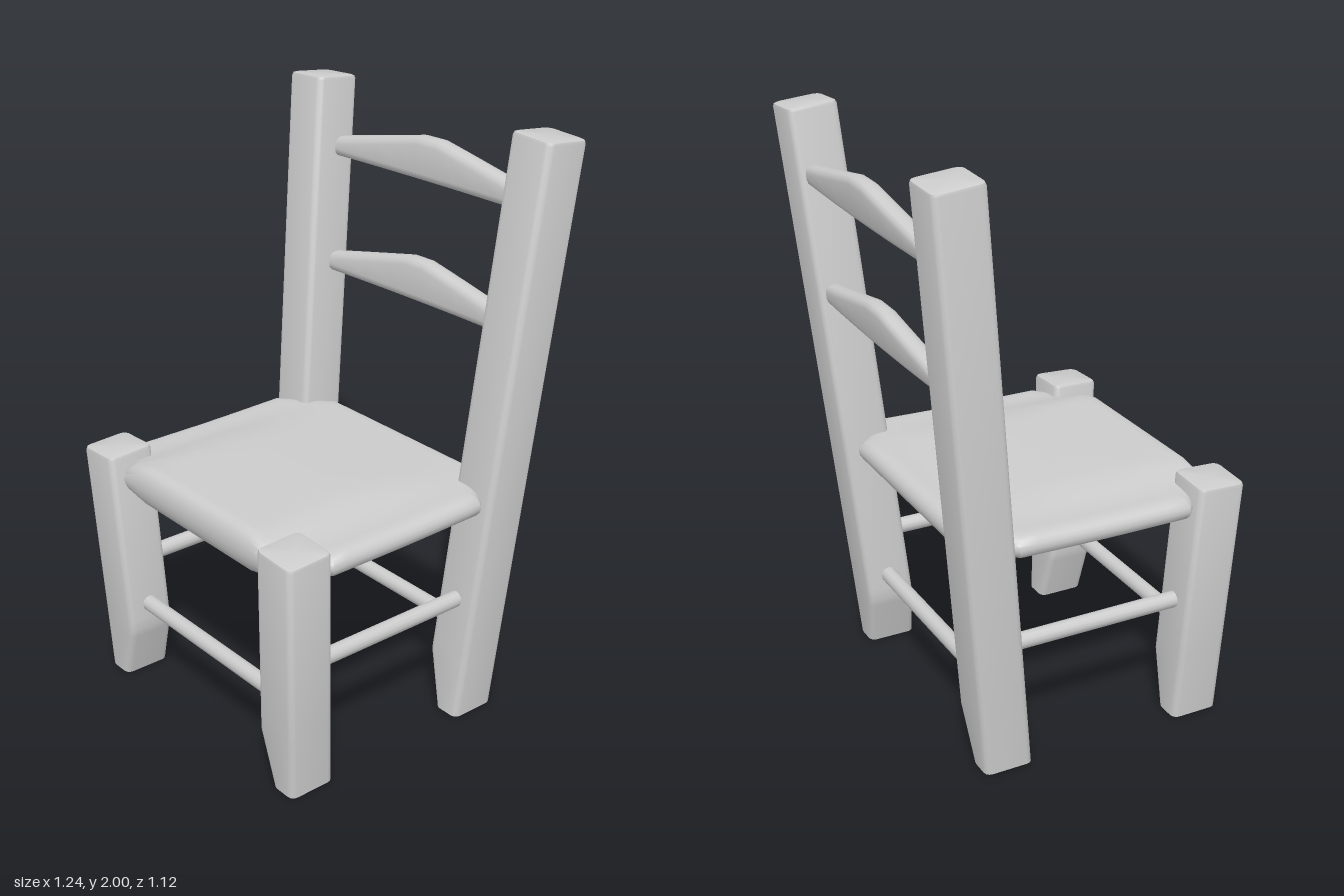
import * as THREE from 'three';
import { toCreasedNormals } from 'three/addons/utils/BufferGeometryUtils.js';

const material = new THREE.MeshStandardMaterial({ color: 0xcccccc });
const lerp = THREE.MathUtils.lerp;

// Skin a stack of equal-length loops and close both ends with fans.
function loft(loops) {
  const pos = [], idx = [], n = loops[0].length;
  for (const loop of loops) for (const p of loop) pos.push(...p);
  for (let i = 0; i < loops.length - 1; i++) {
    for (let j = 0; j < n; j++) {
      const a = i * n + j, b = i * n + (j + 1) % n;
      idx.push(a, b, b + n, a, b + n, a + n);
    }
  }
  for (const end of [0, loops.length - 1]) {
    const loop = loops[end], c = pos.length / 3;
    pos.push(...[0, 1, 2].map(k => loop.reduce((sum, p) => sum + p[k], 0) / n));
    for (let j = 0; j < n; j++) {
      const a = end * n + j, b = end * n + (j + 1) % n;
      if (end) idx.push(c, a, b); else idx.push(c, b, a);
    }
  }
  const g = new THREE.BufferGeometry();
  g.setAttribute('position', new THREE.Float32BufferAttribute(pos, 3));
  g.setIndex(idx);
  return toCreasedNormals(g, 0.7);
}

// Rounded rectangle, counter-clockwise, as [u, v] pairs.
function roundedRect(hu, hv, r) {
  const pts = [];
  [[1, 1], [-1, 1], [-1, -1], [1, -1]].forEach(([su, sv], q) => {
    for (let k = 0; k <= 3; k++) {
      const a = (q + k / 3) * Math.PI / 2;
      pts.push([su * (hu - r) + r * Math.cos(a), sv * (hv - r) + r * Math.sin(a)]);
    }
  });
  return pts;
}

// Splayed square post: foot cut back on its inner side, top square to the axis.
function legGeometry(side, top, zFoot, lean) {
  const section = (y, inset, tilted) => {
    const outer = 0.52 + 0.05 * y;
    const inner = y < 0.2 ? lerp(0.42, 0.362, y / 0.2) : outer - 0.168;
    const xc = side * (outer + inner) / 2, zc = zFoot + lean * y;
    return roundedRect((outer - inner) / 2 - inset, 0.085 - inset, 0.022).map(([u, v]) => [
      xc + u, y - (tilted ? side * 0.05 * u - lean * v : 0), zc - v,
    ]);
  };
  return loft([
    section(0, 0, false), section(0.17, 0, false), section(0.2, 0, false), section(0.24, 0, false),
    section(top - 0.012, 0, true), section(top - 0.003, 0.003, true), section(top, 0.01, true),
  ]);
}

// Back slat: a round-ended bar that swells upward to a flat crest.
function slatGeometry(y, z, half) {
  const loops = [];
  for (const t of [-1, -0.75, -0.5, -0.25, -0.1, 0, 0.1, 0.25, 0.5, 0.75, 1]) {
    const crest = Math.min(1, (1 - Math.abs(t)) / 0.9);
    const low = y + 0.006 * t, high = y + 0.065 + 0.008 * t + 0.077 * crest;
    const hy = (high - low) / 2, bow = -0.008 * (1 - t * t);
    loops.push(roundedRect(hy, 0.034, 0.026).map(([u, v]) => [
      t * half, (low + high) / 2 + u, z + bow + v - 0.1 * (u + hy - 0.03),
    ]));
  }
  return loft(loops);
}

// Padded seat: corner-cut plan, rounded rim, thinner at the sides and back.
function seatGeometry() {
  const corners = [[0.54, 0.37], [0.54, -0.25], [0.37, -0.4], [-0.37, -0.4],
    [-0.54, -0.25], [-0.54, 0.37], [-0.38, 0.52], [0.38, 0.52]];
  const outline = [];
  corners.forEach((c, i) => {
    const d = corners[(i + 1) % 8];
    for (let k = 0; k < 10; k++) outline.push([lerp(c[0], d[0], k / 10), lerp(c[1], d[1], k / 10)]);
  });
  const ring = (t, face) => outline.map(([px, pz]) => {
    const x = px * t, z = 0.06 + (pz - 0.06) * t;
    const rim = Math.sqrt(1 - Math.pow(Math.max(0, 1 - (1 - t) / 0.09), 2));
    const back = THREE.MathUtils.smoothstep(-z, -0.15, 0.38);
    const edge = THREE.MathUtils.smoothstep(Math.abs(x), 0.28, 0.44);
    const h = lerp(lerp(0.07, 0.042, back), 0.04, edge);
    return [x, 0.789 + 0.008 * back + face * h * rim, z];
  });
  const steps = [0.05, 0.25, 0.45, 0.6, 0.7, 0.8, 0.87, 0.92, 0.95, 0.975, 0.993];
  return loft([
    ...steps.map(t => ring(t, -1)), ring(1, 0), ...steps.reverse().map(t => ring(t, 1)),
  ]);
}

export function createModel() {
  const chair = new THREE.Group();
  chair.name = 'chair';
  const add = (name, geometry) => {
    const mesh = new THREE.Mesh(geometry, material);
    mesh.name = name;
    chair.add(mesh);
    return mesh;
  };

  // Legs and side stretchers, mirrored
  for (const [side, label] of [[1, 'left'], [-1, 'right']]) {
    add(label + 'FrontLeg', legGeometry(side, 0.868, 0.437, 0.045));
    add(label + 'BackLeg', legGeometry(side, 1.99, -0.275, -0.1));
    const rod = add(label + 'Stretcher', new THREE.CylinderGeometry(0.028, 0.028, 0.7, 12));
    rod.rotation.x = Math.PI / 2;
    rod.position.set(side * 0.455, 0.427, 0.07);
  }

  // Front and back stretchers
  for (const [name, z] of [['frontStretcher', 0.45], ['backStretcher', -0.304]]) {
    const rod = add(name, new THREE.CylinderGeometry(0.028, 0.028, 0.8, 12));
    rod.rotation.z = Math.PI / 2;
    rod.position.set(0, 0.29, z);
  }

  // Seat and back slats
  add('seat', seatGeometry());
  add('upperSlat', slatGeometry(1.724, -0.48, 0.46));
  add('lowerSlat', slatGeometry(1.318, -0.438, 0.44));
  return chair;
}
